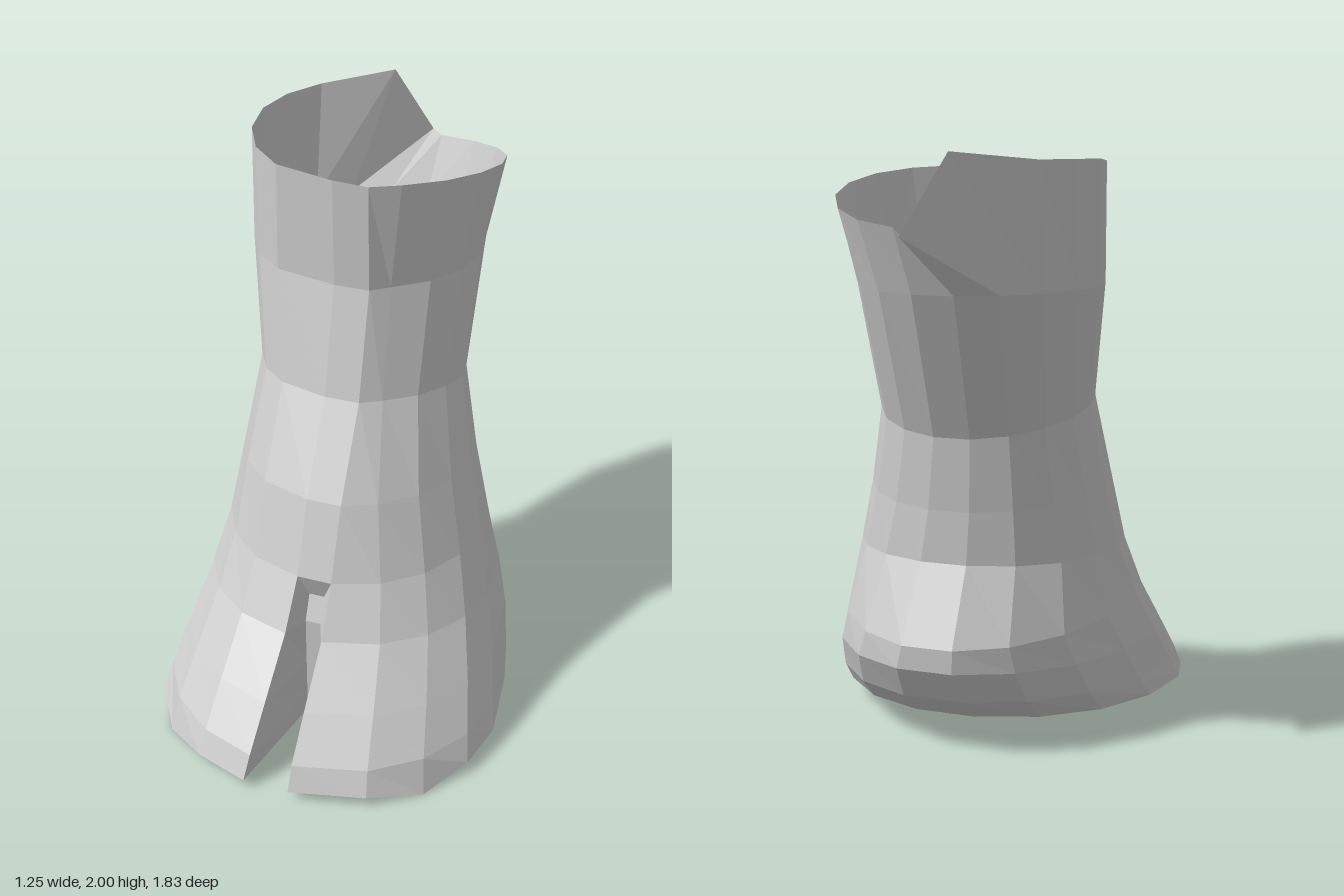
import * as THREE from 'three';

const LAST = 17; // columns 0..LAST run from the cleft's +x edge round the heel to its -x edge
const CLEFT_RING = 4; // the cleft opens below this ring

// Rings from rim to sole: right and left x, front and back z, z of widest point, front and back y
const RINGS = [
  { x0: -0.52, x1: 0.36, zf: 0.12, zb: -0.82, zc: -0.35, yf: 1.945, yb: 1.77 },
  { x0: -0.51, x1: 0.31, zf: 0.11, zb: -0.74, zc: -0.3, yf: 1.57, yb: 1.56 },
  { x0: -0.44, x1: 0.3, zf: 0.21, zb: -0.51, zc: -0.17, yf: 1.19, yb: 1.07 },
  { x0: -0.47, x1: 0.37, zf: 0.39, zb: -0.49, zc: -0.08, yf: 0.88, yb: 0.82 },
  { x0: -0.5, x1: 0.44, zf: 0.49, zb: -0.49, zc: 0, yf: 0.62, yb: 0.64 },
  { x0: -0.54, x1: 0.5, zf: 0.59, zb: -0.62, zc: 0.1, yf: 0.44, yb: 0.38 },
  { x0: -0.58, x1: 0.56, zf: 0.76, zb: -0.62, zc: 0.22, yf: 0.26, yb: 0.3 },
  { x0: -0.61, x1: 0.6, zf: 0.88, zb: -0.54, zc: 0.33, yf: 0.12, yb: 0.18 },
  { x0: -0.63, x1: 0.62, zf: 0.92, zb: -0.42, zc: 0.38, yf: 0.035, yb: 0.09 },
];

function ringPoints(ring, r) {
  const points = [];
  for (let i = 0; i <= LAST; i++) {
    const t = ((i + 0.5) / (LAST + 1)) * Math.PI * 2;
    const c = Math.cos(t);
    let x = (ring.x0 + ring.x1) / 2 + ((ring.x1 - ring.x0) / 2) * Math.sin(t);
    const z = ring.zc + (c > 0 ? ring.zf - ring.zc : ring.zc - ring.zb) * c;
    const s = (ring.zf - z) / (ring.zf - ring.zb);
    let y = ring.yf + (ring.yb - ring.yf) * Math.pow(s, 1.7);
    // the two edges of the cleft
    if (i === 0) x = 0.045;
    if (i === LAST) x = r < CLEFT_RING ? -0.08 : -0.08 - 0.01 * (r - CLEFT_RING);
    // the rim stays high on the -x side
    if (r === 0 && t > Math.PI) y = 1.95 + 0.025 * Math.min(1, 2 * s);
    // each toe rests on its outer corner
    if (r === RINGS.length - 1 && (i === 2 || i === LAST - 2)) y = 0;
    points.push(new THREE.Vector3(x, y, z));
  }
  return points;
}

// Collects flat faces and turns them into a mesh
function faceMesh(name, material, fill) {
  const positions = [];
  const tri = (...corners) => corners.forEach((p) => positions.push(p.x, p.y, p.z));
  const quad = (a, b, c, d) => { tri(a, b, c); tri(a, c, d); };
  fill(tri, quad);
  const geometry = new THREE.BufferGeometry();
  geometry.setAttribute('position', new THREE.Float32BufferAttribute(positions, 3));
  geometry.computeVertexNormals();
  const mesh = new THREE.Mesh(geometry, material);
  mesh.name = name;
  return mesh;
}

export function createModel() {
  const group = new THREE.Group();
  group.name = 'clovenFoot';
  const material = new THREE.MeshStandardMaterial({
    color: 0xcccccc, flatShading: true, side: THREE.DoubleSide,
  });

  const rings = RINGS.map(ringPoints);
  // Torn, folded flap at the back of the rim
  rings[0][9].set(-0.07, 1.75, -0.92);
  rings[0][10].set(-0.19, 2, -0.82);

  // Inner corners of the cleft, one pair for each ring it passes
  const inner = rings.slice(CLEFT_RING).map((ring) => {
    const y = Math.min(ring[0].y, 0.53);
    const z = y > 0.5 ? 0.45 : 0.49;
    return { left: new THREE.Vector3(0.005, y, z), right: new THREE.Vector3(-0.05, y, z) };
  });

  // Leg, heel and toes, closed at the front only above the cleft
  group.add(faceMesh('legAndToes', material, (tri, quad) => {
    for (let r = 0; r < rings.length - 1; r++) {
      const count = r < CLEFT_RING ? LAST + 1 : LAST;
      for (let i = 0; i < count; i++) {
        const j = (i + 1) % (LAST + 1);
        quad(rings[r][i], rings[r + 1][i], rings[r + 1][j], rings[r][j]);
      }
    }
  }));

  // Roof, side walls and back wall of the cleft
  group.add(faceMesh('cleft', material, (tri, quad) => {
    const top = rings[CLEFT_RING];
    quad(top[LAST], inner[0].right, inner[0].left, top[0]);
    for (let k = 0; k < inner.length - 1; k++) {
      const a = inner[k], b = inner[k + 1];
      const upper = rings[CLEFT_RING + k], lower = rings[CLEFT_RING + k + 1];
      quad(upper[0], a.left, b.left, lower[0]);
      quad(upper[LAST], lower[LAST], b.right, a.right);
      quad(a.right, b.right, b.left, a.left);
    }
  }));

  // Sole, notched by the cleft
  group.add(faceMesh('sole', material, (tri) => {
    const end = inner[inner.length - 1];
    const outline = [...rings[rings.length - 1], end.right, end.left];
    const flat = outline.map((p) => new THREE.Vector2(p.x, -p.z));
    for (const [a, b, c] of THREE.ShapeUtils.triangulateShape(flat, [])) {
      const ab = flat[b].clone().sub(flat[a]);
      const ac = flat[c].clone().sub(flat[a]);
      if (ab.cross(ac) > 0) tri(outline[a], outline[c], outline[b]);
      else tri(outline[a], outline[b], outline[c]);
    }
  }));

  return group;
}
